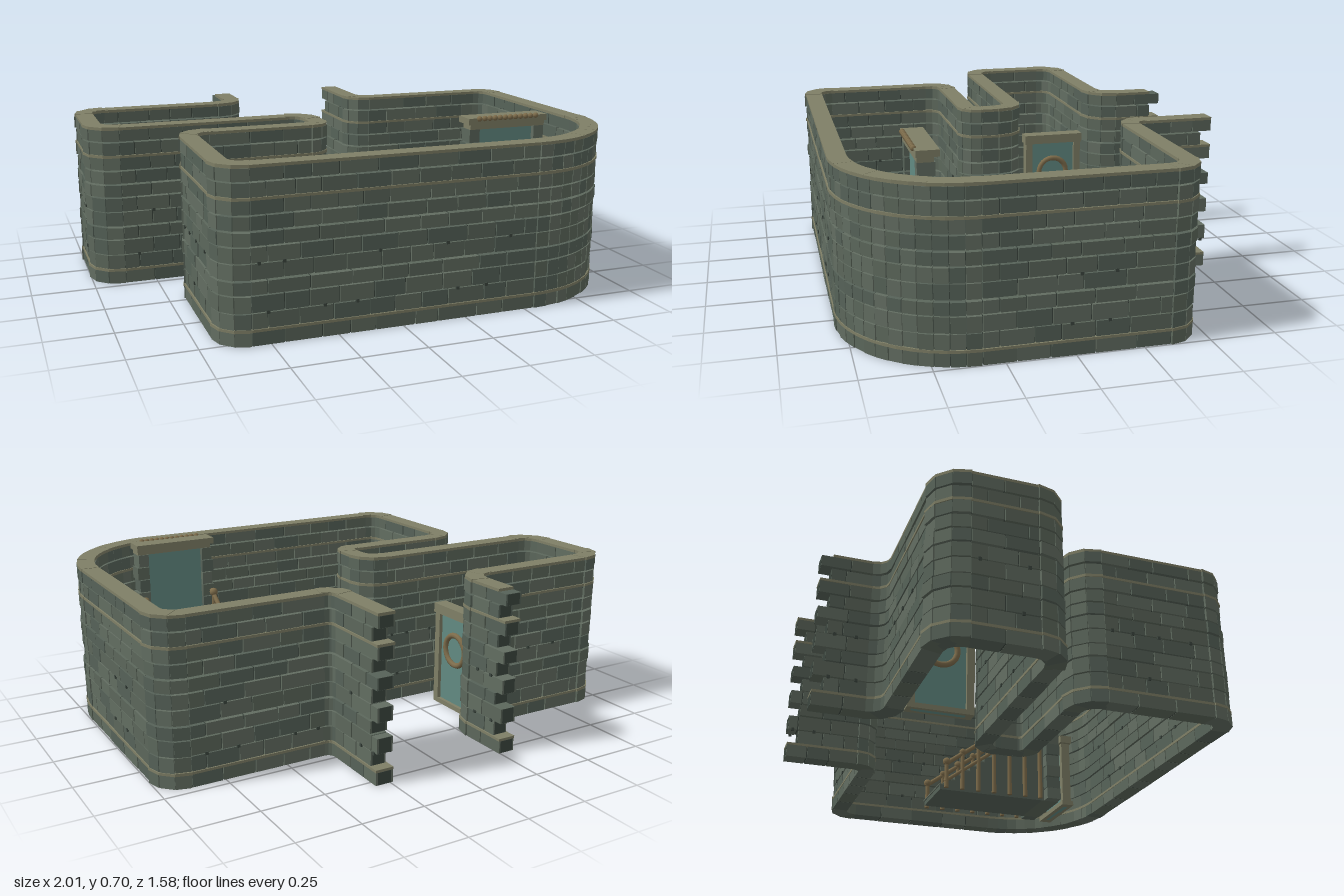
import * as THREE from 'three';
import { mergeGeometries } from 'three/addons/utils/BufferGeometryUtils.js';

const mat = (color) => new THREE.MeshStandardMaterial({ color });
const STONES = [0x626d61, 0x566258, 0x5c675b].map(mat);
const MOSS = mat(0x7f7f66), JOINT = mat(0x3c463f), WOOD = mat(0x7d6c4b), GLASS = mat(0x628a82);

// Wall centre line: x, z, corner radius (all turns are right angles)
const PATH = [
  [-0.28, -0.79, 0], [-0.28, -0.49, 0.09], [-0.965, -0.49, 0.09], [-0.965, -0.065, 0.09],
  [-0.09, -0.065, 0.08], [-0.09, 0.14, 0.05], [-0.65, 0.14, 0.09], [-0.65, 0.75, 0.08],
  [0.96, 0.75, 0.42], [0.96, -0.43, 0.08], [0.275, -0.43, 0.06], [0.275, -0.79, 0],
];

// Stone courses: bottom, top, thickness
const COURSES = [
  [0, 0.05, 0.07], [0.06, 0.117, 0.064], [0.121, 0.18, 0.066], [0.186, 0.233, 0.07],
  [0.24, 0.296, 0.064], [0.3, 0.354, 0.066], [0.361, 0.408, 0.07], [0.415, 0.464, 0.064],
  [0.471, 0.52, 0.068], [0.53, 0.58, 0.064], [0.587, 0.632, 0.07],
];

let seed = 7;
const rand = () => (seed = (seed * 16807) % 2147483647) / 2147483647;

function add(parent, name, geometry, material, x = 0, y = 0, z = 0) {
  const mesh = new THREE.Mesh(geometry, material);
  mesh.name = name;
  mesh.position.set(x, y, z);
  parent.add(mesh);
  return mesh;
}
function box(parent, name, material, x0, x1, y0, y1, z0, z1) {
  const g = new THREE.BoxGeometry(x1 - x0, y1 - y0, z1 - z0);
  return add(parent, name, g, material, (x0 + x1) / 2, (y0 + y1) / 2, (z0 + z1) / 2);
}

// Straight runs and corner arcs of the centre line, with each end trimmed
function sections(trimStart, trimEnd) {
  const P = PATH.map(([x, z]) => new THREE.Vector2(x, z));
  const dir = (i) => P[i + 1].clone().sub(P[i]).normalize();
  const out = [];
  for (let i = 0; i < P.length - 1; i++) {
    const d = dir(i), last = i === P.length - 2;
    const a = P[i].clone().addScaledVector(d, i ? PATH[i][2] : trimStart);
    const r = PATH[i + 1][2];
    const b = P[i + 1].clone().addScaledVector(d, -(last ? trimEnd : r));
    out.push({ a, b, d });
    if (!last) {
      const e = dir(i + 1);
      out.push({ c: b.clone().addScaledVector(e, r), d, e, r });
    }
  }
  return out;
}

// Box set on the centre line, turned along the direction
function block(p, d, length, y0, y1, thick, side = 0) {
  const g = new THREE.BoxGeometry(length, y1 - y0, thick);
  g.rotateY(Math.atan2(-d.y, d.x));
  return g.translate(p.x - d.y * side, (y0 + y1) / 2, p.y + d.x * side);
}

function eachArcBlock(s, thick, size, fn) {
  const n = Math.max(3, Math.round((s.r * Math.PI) / 2 / size));
  const step = Math.PI / 2 / n;
  for (let k = 0; k < n; k++) {
    const t = (k + 0.5) * step;
    const p = s.c.clone().addScaledVector(s.e, -s.r * Math.cos(t)).addScaledVector(s.d, s.r * Math.sin(t));
    const d = s.d.clone().multiplyScalar(Math.cos(t)).addScaledVector(s.e, Math.sin(t));
    fn(p, d, 2 * (s.r + thick / 2) * Math.tan(step / 2));
  }
}

// One course of blocks over a thinner dark core
function buildCourse(group, [y0, y1, thick], index) {
  const lists = STONES.map(() => []), core = [];
  const put = (g) => lists[Math.floor(rand() * 3)].push(g);
  const trim = index % 2 ? 0.045 : 0.002;
  for (const s of sections(trim, trim)) {
    if (s.c) {
      eachArcBlock(s, thick, 0.05, (p, d, len) => {
        core.push(block(p, d, len, y0 + 0.001, y1 - 0.001, thick - 0.014));
        put(block(p, d, len - 0.003, y0, y1, thick + rand() * 0.008 - 0.002));
      });
      continue;
    }
    const length = s.a.distanceTo(s.b);
    const at = (t) => s.a.clone().addScaledVector(s.d, t);
    core.push(block(at(length / 2), s.d, length - 0.004, y0 + 0.001, y1 - 0.001, thick - 0.014));
    let t = 0, next = index % 2 ? 0.06 : 0.12;
    while (t < length - 0.001) {
      let end = Math.min(length, t + next);
      if (length - end < 0.035) end = length;
      put(block(at((t + end) / 2), s.d, end - t - 0.005, y0, y1, thick + (rand() - 0.5) * 0.005));
      // Small pegs along the joint of the paired courses
      if ((index === 2 || index === 5) && rand() < 0.6) {
        for (const side of [-1, 1]) {
          core.push(block(at((t + end) / 2), s.d, 0.012, y0 - 0.008, y0 + 0.004, 0.008, side * thick / 2));
        }
      }
      t = end;
      next = 0.09 + rand() * 0.07;
    }
  }
  lists.forEach((l, i) => l.length && add(group, 'stoneCourse', mergeGeometries(l), STONES[i]));
  add(group, 'jointCore', mergeGeometries(core), JOINT);
}

// Thin mossy ledge along the whole wall
function buildLedge(group, y0, y1, thick, trimStart) {
  const parts = [];
  for (const s of sections(trimStart, 0.004)) {
    if (s.c) eachArcBlock(s, thick, 0.055, (p, d, len) => parts.push(block(p, d, len, y0, y1 + rand() * 0.002, thick)));
    else parts.push(block(s.a.clone().lerp(s.b, 0.5), s.d, s.a.distanceTo(s.b), y0, y1, thick));
  }
  add(group, 'wallLedge', mergeGeometries(parts), MOSS);
}

function buildStairs(group) {
  const n = 14, z0 = -0.07, run = 0.49 / n, rise = 0.36 / n;
  for (let i = 0; i < n; i++) {
    const z = z0 + i * run, y = (i + 1) * rise;
    box(group, 'step', STONES[1], 0.435, 0.685, 0, y - 0.006, z, z + run);
    box(group, 'stepTread', STONES[0], 0.43, 0.69, y - 0.006, y, z - 0.005, z + run);
  }
  box(group, 'landing', STONES[2], 0.435, 0.685, 0, 0.36, 0.42, 0.5);
  // Railings with turned posts and knobs
  for (const x of [0.405, 0.715]) {
    const height = (z) => ((z - z0) / 0.49) * 0.36 + 0.1;
    for (let i = 0; i < 7; i++) {
      const z = -0.05 + i * 0.075, h = height(z);
      add(group, 'railPost', new THREE.CylinderGeometry(0.009, 0.011, h, 8), WOOD, x, h / 2, z);
      add(group, 'railKnob', new THREE.SphereGeometry(i % 2 ? 0.015 : 0.018, 10, 8), WOOD, x, h + 0.008, z);
    }
    const rail = new THREE.LineCurve3(new THREE.Vector3(x, height(-0.06), -0.06), new THREE.Vector3(x, height(0.42), 0.42));
    add(group, 'handrail', new THREE.TubeGeometry(rail, 1, 0.01, 8), WOOD);
    const stringer = new THREE.LineCurve3(new THREE.Vector3(x, height(-0.06) - 0.08, -0.06), new THREE.Vector3(x, height(0.42) - 0.08, 0.42));
    add(group, 'lowerRail', new THREE.TubeGeometry(stringer, 1, 0.008, 8), WOOD);
  }
}

// Doorway at the top of the stairs
function buildUpperDoor(group) {
  for (let i = 0; i < 12; i++) {
    const y = i * 0.054, w = i % 2 ? 0.043 : 0.05;
    box(group, 'doorJamb', STONES[i % 3], 0.44 - w, 0.44, y, y + 0.051, 0.43, 0.495);
    box(group, 'doorJamb', STONES[(i + 1) % 3], 0.68, 0.68 + w, y, y + 0.051, 0.43, 0.495);
  }
  box(group, 'doorPanel', GLASS, 0.435, 0.685, 0.36, 0.65, 0.45, 0.475);
  box(group, 'lintelBase', MOSS, 0.4, 0.725, 0.645, 0.668, 0.435, 0.495);
  box(group, 'lintel', MOSS, 0.39, 0.733, 0.665, 0.69, 0.415, 0.5);
  for (let i = 0; i < 12; i++) {
    add(group, 'lintelBead', new THREE.SphereGeometry(0.011, 8, 6), WOOD, 0.435 + i * 0.0225, 0.688, 0.5);
  }
}

// Low doorway behind the stairs
function buildLowerDoor(group) {
  for (const x of [0.47, 0.7]) box(group, 'lowDoorPost', MOSS, x, x + 0.027, 0, 0.31, 0.54, 0.58);
  box(group, 'lowDoorPanel', GLASS, 0.49, 0.705, 0, 0.31, 0.55, 0.57);
  box(group, 'lowDoorLintel', MOSS, 0.455, 0.74, 0.31, 0.345, 0.53, 0.585);
  box(group, 'lowDoorSill', MOSS, 0.455, 0.74, 0, 0.02, 0.53, 0.585);
}

// Side-room door with a round window, facing along x
function buildRoomDoor(group) {
  box(group, 'roomDoorPanel', GLASS, -0.395, -0.375, 0, 0.4, -0.43, -0.21);
  for (const z of [-0.45, -0.22]) box(group, 'roomDoorPost', MOSS, -0.41, -0.36, 0, 0.4, z, z + 0.03);
  box(group, 'roomDoorLintel', MOSS, -0.415, -0.355, 0.4, 0.44, -0.455, -0.185);
  box(group, 'roomDoorSill', MOSS, -0.41, -0.36, 0, 0.02, -0.45, -0.19);
  for (const x of [-0.397, -0.371]) {
    add(group, 'roundWindowFrame', new THREE.TorusGeometry(0.065, 0.012, 8, 24), WOOD, x, 0.26, -0.32).rotation.y = Math.PI / 2;
  }
}

export function createModel() {
  const model = new THREE.Group();
  model.name = 'stoneRooms';
  const part = (name, build) => {
    const g = new THREE.Group();
    g.name = name;
    build(g);
    model.add(g);
  };
  part('walls', (g) => {
    COURSES.forEach((c, i) => buildCourse(g, c, i));
    buildLedge(g, 0.05, 0.06, 0.074, 0.004);
    buildLedge(g, 0.52, 0.53, 0.074, 0.004);
    buildLedge(g, 0.632, 0.643, 0.07, 0.05);
  });
  part('stairs', buildStairs);
  part('upperDoor', buildUpperDoor);
  part('lowerDoor', buildLowerDoor);
  part('roomDoor', buildRoomDoor);
  return model;
}
